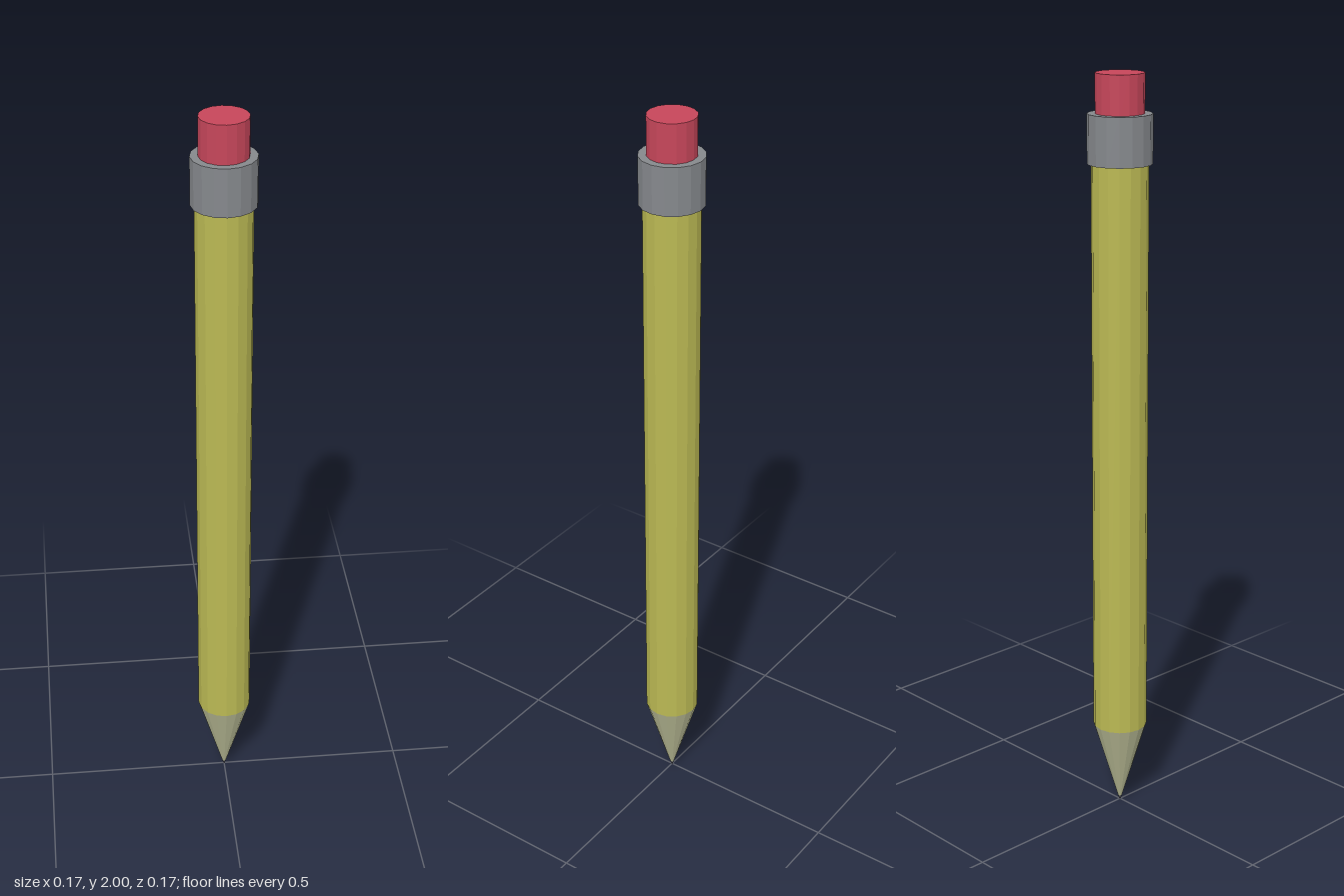
import * as THREE from 'three';

const SIDES = 16;

export function createModel() {
  const group = new THREE.Group();
  group.name = 'pencil';

  const paint = (name, color) => {
    const m = new THREE.MeshStandardMaterial({ color, flatShading: true });
    m.name = name;
    return m;
  };
  const yellow = paint('yellow paint', 0xbab853);
  const wood = paint('bare wood', 0xb4b691);
  const metal = paint('grey metal', 0x85888c);
  const pink = paint('red rubber', 0xc6465a);
  const graphite = paint('graphite', 0x4a4a55);

  // A faceted section between two heights
  const section = (name, material, y0, y1, r0, r1 = r0) => {
    const geometry = new THREE.CylinderGeometry(r1, r0, y1 - y0, SIDES);
    const mesh = new THREE.Mesh(geometry, material);
    mesh.name = name;
    mesh.position.y = (y0 + y1) / 2;
    group.add(mesh);
  };

  section('leadPoint', graphite, 0, 0.012, 0.002, 0.0055);
  section('sharpenedTip', wood, 0.012, 0.237, 0.0055, 0.073);
  section('shaft', yellow, 0.237, 1.78, 0.073);
  section('ferrule', metal, 1.775, 1.9, 0.083);
  section('eraser', pink, 1.89, 2, 0.0625);

  return group;
}
